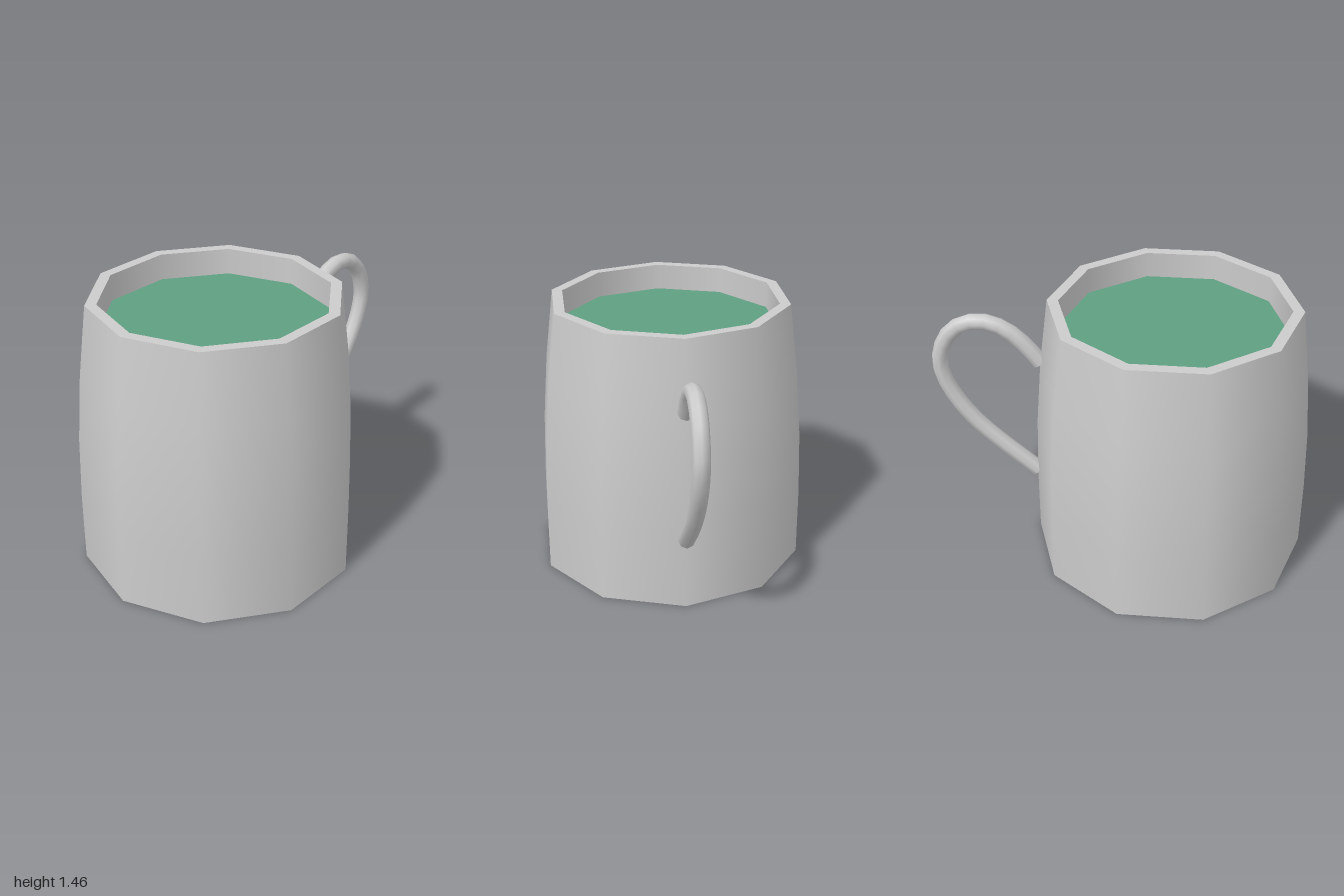
import * as THREE from 'three';

const SIDES = 10;
const BODY_Z = 0.27; // the cup sits forward of centre to leave room for the handle
const RIM_Y = 1.46;
const INNER_R = 0.587;

export function createModel() {
  const model = new THREE.Group();
  model.name = 'mug';
  const grey = new THREE.MeshStandardMaterial({ color: 0xcccccc });
  const green = new THREE.MeshStandardMaterial({ color: 0x5f9f80 });

  const body = new THREE.Group();
  body.name = 'body';
  body.position.z = BODY_Z;
  model.add(body);

  // Ten-sided revolved surface; separate pieces keep the edges between them sharp
  const lathe = (name, profile, material = grey) => {
    const points = profile.map(([r, y]) => new THREE.Vector2(r, y));
    const mesh = new THREE.Mesh(new THREE.LatheGeometry(points, SIDES), material);
    mesh.name = name;
    body.add(mesh);
  };

  lathe('base', [[0, 0], [0.73, 0]]);
  lathe('outerWall', [[0.73, 0], [0.73, 0.38], [0.72, 0.72], [0.692, 1.08], [0.645, RIM_Y]]);
  lathe('rim', [[0.645, RIM_Y], [INNER_R, RIM_Y]]);
  lathe('innerWall', [[INNER_R, RIM_Y], [INNER_R, 0.08]]);
  lathe('innerFloor', [[INNER_R, 0.08], [0, 0.08]]);
  lathe('drink', [[INNER_R, 1.32], [0, 1.32]], green);

  // Handle: round tube along a hooked curve, given as [z, y]
  const handle = new THREE.Group();
  handle.name = 'handle';
  model.add(handle);
  const path = new THREE.CatmullRomCurve3([
    [-0.42, 1.09], [-0.485, 1.175], [-0.56, 1.25], [-0.64, 1.297], [-0.73, 1.316],
    [-0.83, 1.29], [-0.91, 1.21], [-0.953, 1.07], [-0.935, 0.96], [-0.88, 0.84],
    [-0.79, 0.71], [-0.69, 0.605], [-0.455, 0.395],
  ].map(([z, y]) => new THREE.Vector3(0, y, z)));
  const radius = 0.044;
  const tube = new THREE.Mesh(new THREE.TubeGeometry(path, 22, radius, 8), grey);
  tube.name = 'handleTube';
  handle.add(tube);

  // Flat caps closing both ends of the tube
  for (const [t, dir] of [[0, -1], [1, 1]]) {
    const cap = new THREE.Mesh(new THREE.CircleGeometry(radius, 8), grey);
    cap.name = t ? 'handleLowerEnd' : 'handleUpperEnd';
    cap.position.copy(path.getPointAt(t));
    cap.lookAt(cap.position.clone().addScaledVector(path.getTangentAt(t), dir));
    handle.add(cap);
  }
  return model;
}
